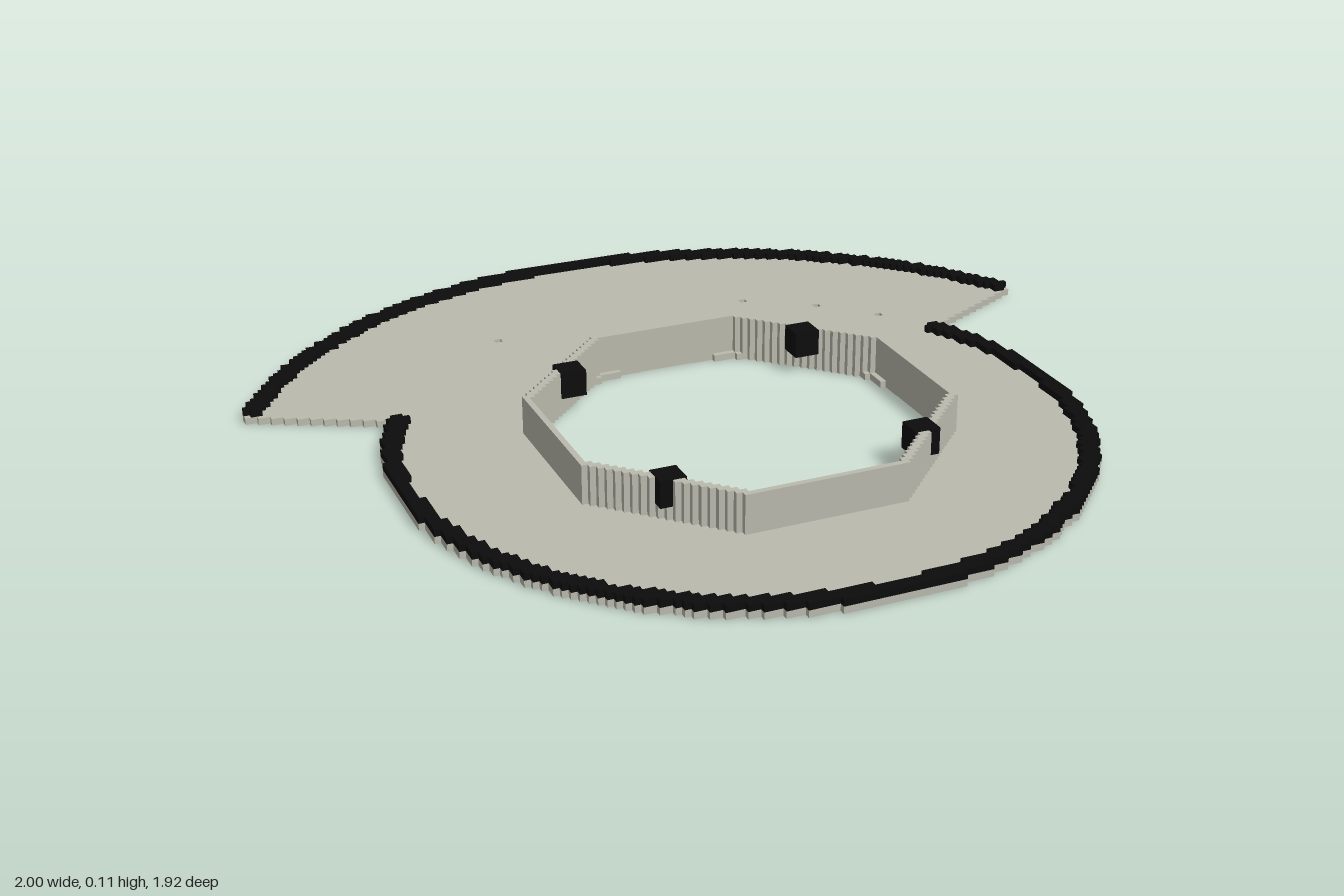
import * as THREE from 'three';

const CELL = 0.0135;      // size of one stair step
const FAN = 28;           // angle in degrees where the fan begins on each side
const R_DISC = 0.787, R_FAN = 1.127, R_HOLE = 0.443, RIM = 0.036;
const PLATE_TOP = 0.016, RIM_TOP = 0.032, WALL_TOP = 0.107;

// Points along an arc, angles in degrees, +y towards the back
function arc(r, from, to, n = 300) {
  return Array.from({ length: n + 1 }, (_, i) => {
    const a = THREE.MathUtils.degToRad(from + ((to - from) * i) / n);
    return [r * Math.cos(a), r * Math.sin(a)];
  });
}

// Turns a closed outline into right-angled stair steps on the grid
function stepped(points) {
  const cells = points.map(([x, y]) => [Math.round(x / CELL), Math.round(y / CELL)]);
  const out = [];
  const add = (x, y) => {
    const last = out[out.length - 1];
    if (!last || last.x !== x || last.y !== y) out.push(new THREE.Vector2(x, y));
  };
  cells.forEach(([x0, y0], i) => {
    const [x1, y1] = cells[(i + 1) % cells.length];
    const n = Math.max(Math.abs(x1 - x0), Math.abs(y1 - y0));
    let px = x0, py = y0;
    add(px, py);
    for (let k = 1; k <= n; k++) {
      const x = Math.round(x0 + ((x1 - x0) * k) / n);
      const y = Math.round(y0 + ((y1 - y0) * k) / n);
      if (x !== px && y !== py) {
        // a diagonal move goes round the outer corner
        if (Math.hypot(x, py) > Math.hypot(px, y)) add(x, py);
        else add(px, y);
      }
      add(x, y);
      px = x; py = y;
    }
  });
  if (out[0].equals(out[out.length - 1])) out.pop();
  return out.map((p) => p.multiplyScalar(CELL));
}

// Extrudes a stepped outline with holes between two heights
function slab(name, material, outline, holes, y0, y1) {
  const shape = new THREE.Shape(stepped(outline));
  holes.forEach((h) => shape.holes.push(new THREE.Path(h)));
  const geo = new THREE.ExtrudeGeometry(shape, { depth: y1 - y0, bevelEnabled: false });
  geo.rotateX(-Math.PI / 2).translate(0, y0, 0);
  const mesh = new THREE.Mesh(geo, material);
  mesh.name = name;
  return mesh;
}

function box(name, material, w, h, d, x, y, z) {
  const mesh = new THREE.Mesh(new THREE.BoxGeometry(w, h, d), material);
  mesh.position.set(x, y, z);
  mesh.name = name;
  return mesh;
}

// Octagon from its half width and half side length, in cells
function octagon(a, b) {
  return [[a, -b], [a, b], [b, a], [-b, a], [-a, b], [-a, -b], [-b, -a], [b, -a]]
    .map(([x, y]) => [x * CELL, y * CELL]);
}

export function createModel() {
  const grey = new THREE.MeshStandardMaterial({ color: 0xbabaae });
  grey.name = 'warm grey';
  const black = new THREE.MeshStandardMaterial({ color: 0x0c0c0c });
  black.name = 'black';

  const model = new THREE.Group();
  model.name = 'fanPlate';
  const body = new THREE.Group();
  body.name = 'body';
  body.position.z = 0.176;
  model.add(body);

  // Base plate: disc with a wider fan at the back, round opening and pin holes
  const outline = [...arc(R_FAN, FAN, 180 - FAN), ...arc(R_DISC, 180 - FAN, 360 + FAN)];
  const pinHoles = [[-0.33, 0.715], [0.33, 0.715], [0.49, 0.612], [0.607, 0.495]].map(([x, y]) => {
    const s = 0.009;
    return [[-s, -s], [s, -s], [s, s], [-s, s]].map(([u, v]) => new THREE.Vector2(x + u, y + v));
  });
  body.add(slab('basePlate', grey, outline,
    [stepped(arc(R_HOLE, 0, 360)), ...pinHoles], 0, PLATE_TOP));
  body.add(box('backTab', grey, 0.027, PLATE_TOP, 0.03, 0, PLATE_TOP / 2, -1.127));

  // Raised black rims along the two arcs
  const rim = (name, r, from, to) => body.add(slab(name, black,
    [...arc(r, from, to), ...arc(r - RIM, to, from)], [], PLATE_TOP, RIM_TOP));
  rim('fanRim', R_FAN, FAN, 180 - FAN);
  rim('discRim', R_DISC, 180 - FAN, 360 + FAN);

  // Upright eight-sided collar around the opening
  body.add(slab('collar', grey, octagon(32.6, 13), [stepped(octagon(31.6, 12))],
    PLATE_TOP - 0.015, WALL_TOP));

  // Black blocks on the four slanted sides of the collar
  for (const sx of [-1, 1]) {
    for (const sz of [-1, 1]) {
      body.add(box('collarBlock', black, 0.06, 0.062, 0.06, sx * 0.295, 0.077, sz * 0.295));
    }
  }
  return model;
}
